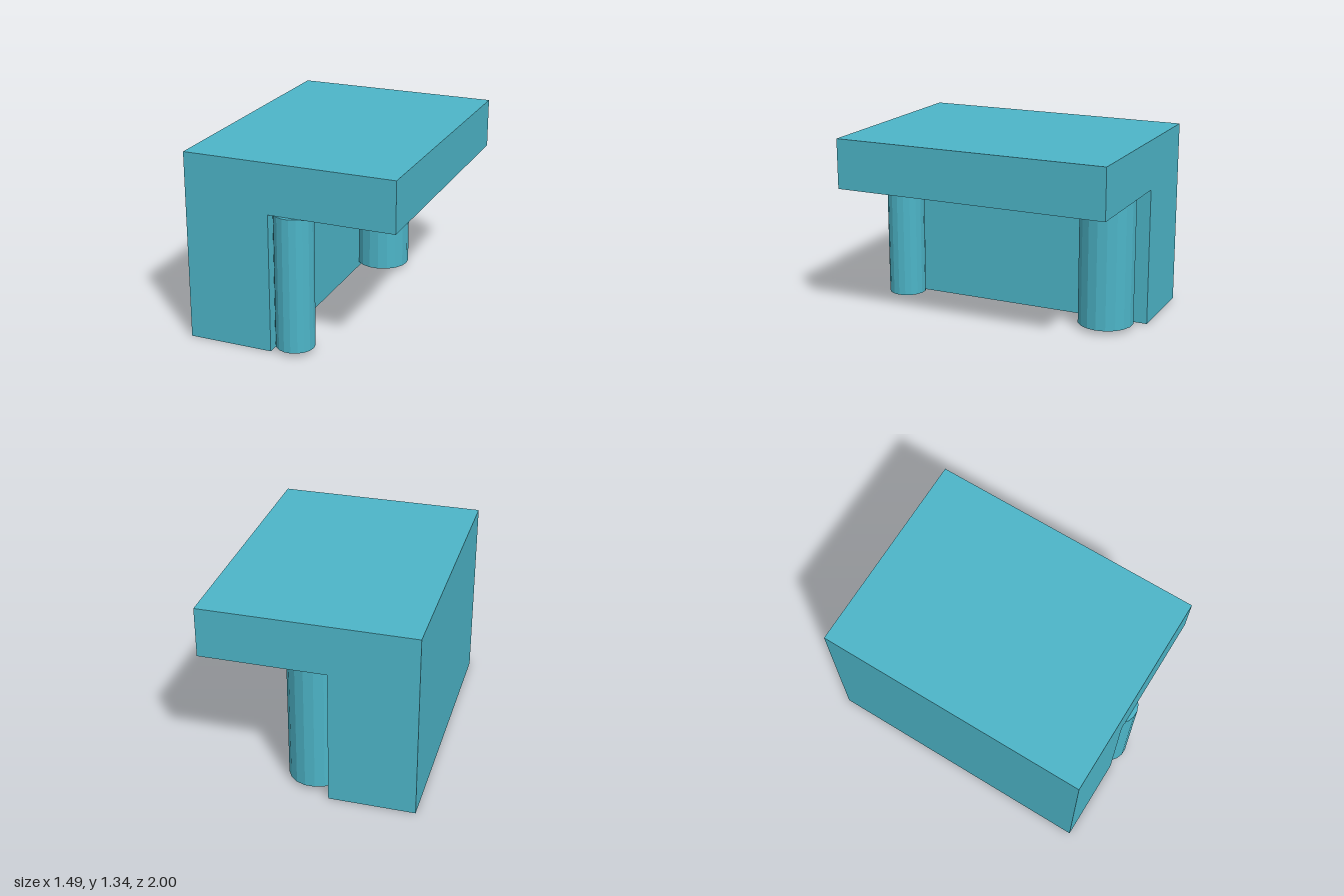
import * as THREE from 'three';

export function createModel() {
  const model = new THREE.Group();
  const teal = new THREE.MeshStandardMaterial({ color: 0x4db5c8, flatShading: true });
  teal.name = 'teal';

  // Table top and its side wall share one L-shaped section, run from back to front
  const section = new THREE.Shape([
    [-0.745, 0], [-0.14, 0], [-0.14, 0.985], [0.745, 0.985], [0.745, 1.34], [-0.745, 1.34],
  ].map(([x, y]) => new THREE.Vector2(x, y)));
  const bodyGeometry = new THREE.ExtrudeGeometry(section, { depth: 1.97, bevelEnabled: false });
  bodyGeometry.translate(0, 0, -1);
  const body = new THREE.Mesh(bodyGeometry, teal);
  body.name = 'topAndSideWall';
  model.add(body);

  // Faceted round legs, reaching from the slab to just above the ground
  const addLeg = (name, radius, x, z) => {
    const height = 0.955;
    const geometry = new THREE.CylinderGeometry(
      radius, radius, height, 18, 1, false, Math.PI / 18, Math.PI * 2);
    const leg = new THREE.Mesh(geometry, teal);
    leg.name = name;
    leg.position.set(x, 0.03 + height / 2, z);
    model.add(leg);
  };
  addLeg('frontLeg', 0.136, -0.003, 0.866);
  addLeg('backLeg', 0.199, 0.008, -0.743);

  return model;
}
